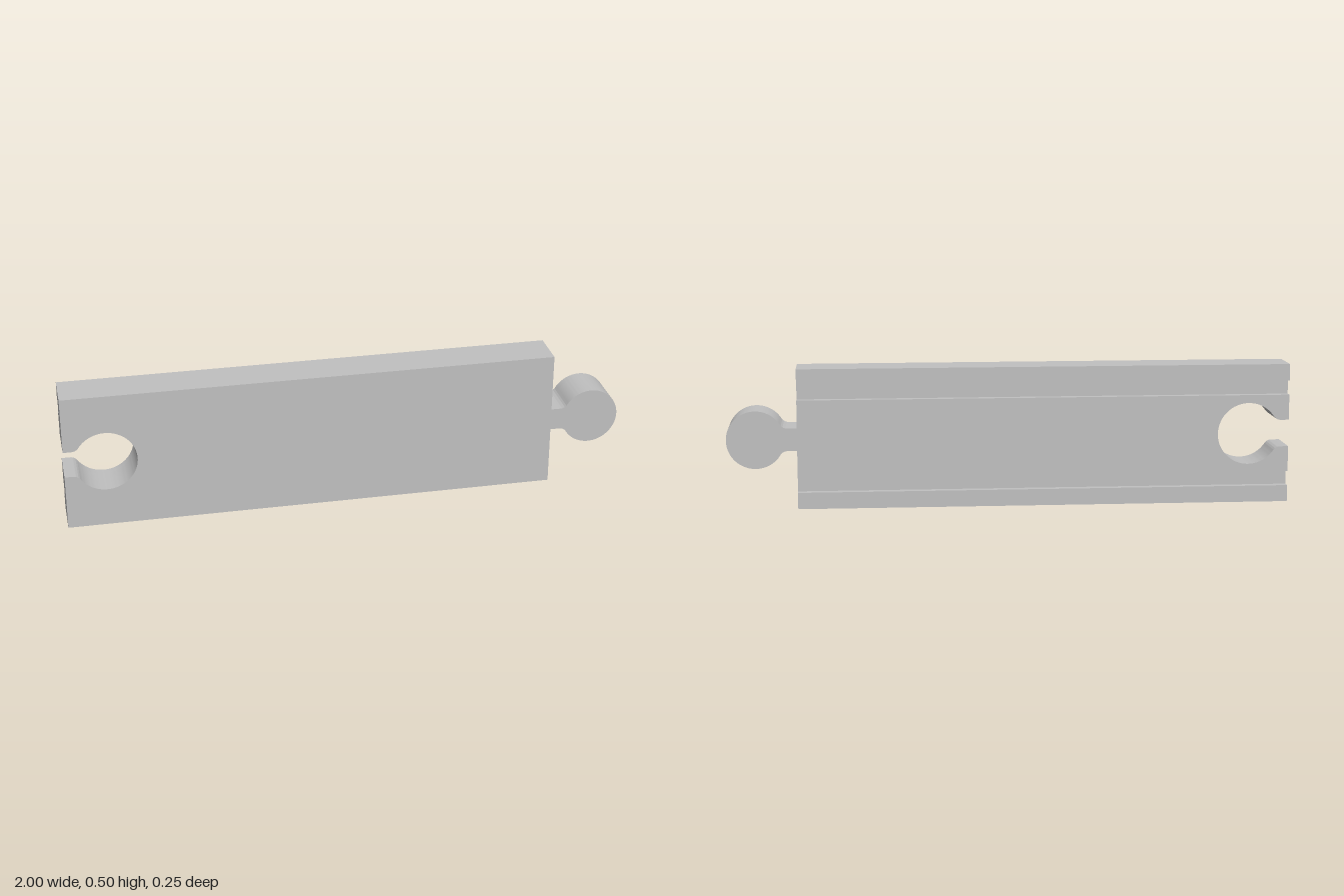
import * as THREE from 'three';
import { toCreasedNormals } from 'three/addons/utils/BufferGeometryUtils.js';

const LEFT = -0.9975, RIGHT = 0.7505;   // ends of the plank
const HALF_H = 0.2485;                  // half the plank's width
const FRONT = 0.073, BACK = -0.073, FLOOR = -0.045; // faces and groove floor
const GROOVE_IN = 0.1385, GROOVE_OUT = 0.19;
const PEG = { x: 0.8955, r: 0.102, h: 0.04, f: 0.03 };
const SOCKET = { x: -0.852, r: 0.11, h: 0.048, f: 0.03 };

// Where a neck of half-width h meets a disc of radius r through a fillet f
function fillet({ x, r, h, f }) {
  const y = h + f;
  const d = Math.sqrt((r + f) ** 2 - y * y);
  return { fx: x - d, y, a: Math.atan2(y, d) };
}

// Plank outline with peg at one end and socket at the other
function outline(half) {
  const P = Math.PI, s = new THREE.Shape();
  s.moveTo(LEFT, -half);
  s.lineTo(RIGHT, -half);
  s.lineTo(RIGHT, -PEG.h);
  const p = fillet(PEG);
  s.absarc(p.fx, -p.y, PEG.f, P / 2, p.a, true);
  s.absarc(PEG.x, 0, PEG.r, p.a - P, P - p.a, false);
  s.absarc(p.fx, p.y, PEG.f, -p.a, -P / 2, true);
  s.lineTo(RIGHT, PEG.h);
  s.lineTo(RIGHT, half);
  s.lineTo(LEFT, half);
  s.lineTo(LEFT, SOCKET.h);
  const q = fillet(SOCKET);
  s.absarc(q.fx, q.y, SOCKET.f, -P / 2, -q.a, false);
  s.absarc(SOCKET.x, 0, SOCKET.r, P - q.a, q.a - P, true);
  s.absarc(q.fx, -q.y, SOCKET.f, q.a, P / 2, false);
  s.lineTo(LEFT, -SOCKET.h);
  s.closePath();
  return s;
}

function layer(half, z0, z1) {
  const g = new THREE.ExtrudeGeometry(outline(half), {
    depth: z1 - z0, bevelEnabled: false, curveSegments: 40,
  });
  g.translate(0, 0, z0);
  return toCreasedNormals(g, 0.5);
}

export function createModel() {
  const grey = new THREE.MeshStandardMaterial({ color: 0xc0c0c0 });
  grey.name = 'plain grey';
  const track = new THREE.Group();
  track.name = 'trackPiece';
  const add = (name, geometry) => {
    const m = new THREE.Mesh(geometry, grey);
    m.name = name;
    track.add(m);
    return m;
  };

  // Solid plank, then the raised land between the wheel grooves
  add('plank', layer(HALF_H, FLOOR, FRONT));
  add('centreLand', layer(GROOVE_IN, BACK, FLOOR));

  // Outer rims beyond the grooves
  for (const side of [-1, 1]) {
    const rim = add(side > 0 ? 'upperRim' : 'lowerRim',
      new THREE.BoxGeometry(RIGHT - LEFT, HALF_H - GROOVE_OUT, FLOOR - BACK));
    rim.position.set((LEFT + RIGHT) / 2, side * (HALF_H + GROOVE_OUT) / 2, (FLOOR + BACK) / 2);
  }

  // The piece stands on its edge, turned slightly
  track.position.y = HALF_H;
  track.rotation.y = -THREE.MathUtils.degToRad(3);
  const model = new THREE.Group();
  model.name = 'toyTrack';
  model.add(track);
  return model;
}
